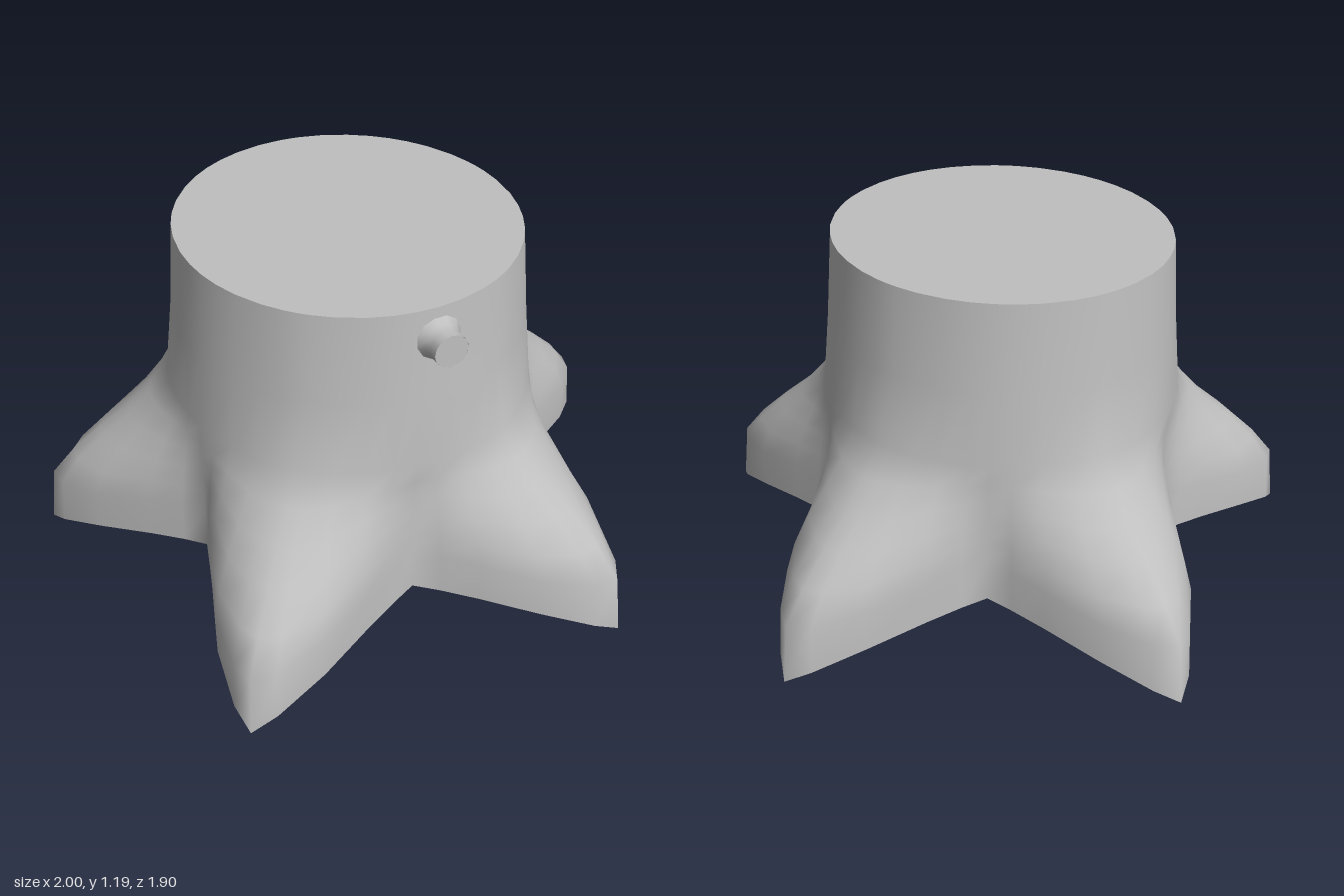
import * as THREE from 'three';

const CZ = 0.1; // trunk axis offset in z
const DEG = Math.PI / 180;

// Half of one root: angle from its ridge, and how far the outline reaches from valley (0) to ridge (1)
const ANGLES = [0, 4, 11.5, 21, 29, 36];
const SHARP = [1, 0.89, 0.61, 0.27, 0.1, 0]; // star outline at the ground
const ROUND = [1, 0.97, 0.76, 0.36, 0.11, 0]; // rounded ridge higher up
const RIM_Y = [0, 0.04, 0.1, 0.135, 0.155, 0.165];

// Rows from ground to top: ridge radius and height, valley radius and height, roundness, x stretch
const ROWS = [
  [1.05, 0, 0.593, 0.165, 0, 1],
  [1.025, 0.2, 0.588, 0.31, 0.25, 1],
  [0.945, 0.3, 0.586, 0.39, 0.6, 1],
  [0.84, 0.4, 0.585, 0.46, 0.9, 1],
  [0.745, 0.48, 0.584, 0.53, 1, 1],
  [0.66, 0.57, 0.582, 0.59, 1, 1.01],
  [0.59, 0.66, 0.58, 0.66, 1, 1.03],
  [0.557, 0.9, 0.555, 0.9, 1, 1.045],
  [0.53, 1.19, 0.53, 1.19, 1, 1.06],
];

// Columns around the trunk: five mirrored roots
function columns() {
  const list = [];
  for (let root = 0; root < 5; root++) {
    for (let k = 0; k < 5; k++) list.push([root * 72 + ANGLES[k], k]);
    for (let k = 5; k > 0; k--) list.push([root * 72 + 72 - ANGLES[k], k]);
  }
  return list;
}

function ringPoint(row, [angle, k]) {
  const [ridgeR, ridgeY, valleyR, valleyY, round, stretch] = ROWS[row];
  const f = THREE.MathUtils.lerp(SHARP[k], ROUND[k], round);
  const r = THREE.MathUtils.lerp(valleyR, ridgeR, f);
  const y = row === 0 ? RIM_Y[k] : THREE.MathUtils.lerp(valleyY, ridgeY, f);
  const a = angle * DEG;
  return [r * Math.sin(a) * stretch, y, CZ - r * Math.cos(a)];
}

function buildGeometry(positions, index) {
  const g = new THREE.BufferGeometry();
  g.setAttribute('position', new THREE.Float32BufferAttribute(positions, 3));
  g.setIndex(index);
  g.computeVertexNormals();
  return g;
}

export function createModel() {
  const group = new THREE.Group();
  group.name = 'treeStump';
  const wood = new THREE.MeshStandardMaterial({ color: 0xbfbfbf, side: THREE.DoubleSide });
  wood.name = 'wood grey';
  const add = (name, geometry) => {
    const mesh = new THREE.Mesh(geometry, wood);
    mesh.name = name;
    group.add(mesh);
    return mesh;
  };

  // Trunk and roots, one smooth open skin
  const cols = columns();
  const n = cols.length;
  const positions = [];
  const index = [];
  ROWS.forEach((_, j) => cols.forEach((c) => positions.push(...ringPoint(j, c))));
  for (let j = 0; j < ROWS.length - 1; j++) {
    for (let i = 0; i < n; i++) {
      const a = j * n + i;
      const b = j * n + ((i + 1) % n);
      index.push(a, a + n, b, b, a + n, b + n);
    }
  }
  add('trunkAndRoots', buildGeometry(positions, index));

  // Flat cut top
  const capPoints = [0, 1.19, CZ];
  const capIndex = [];
  cols.forEach((c, i) => {
    capPoints.push(...ringPoint(ROWS.length - 1, c));
    capIndex.push(0, 1 + ((i + 1) % n), 1 + i);
  });
  add('cutTop', buildGeometry(capPoints, capIndex));

  // Small branch stub with a flared base, on the model's left
  const profile = [[0.1, -0.03], [0.075, 0.005], [0.058, 0.03], [0.053, 0.055], [0.054, 0.085]];
  const stub = add('branchStub', new THREE.LatheGeometry(profile.map((p) => new THREE.Vector2(...p)), 12));
  const end = add('branchCut', new THREE.CircleGeometry(0.054, 12));
  const direction = new THREE.Vector3(0.98, 0, 0.2).normalize();
  stub.position.set(0.545, 1.085, 0.195);
  stub.quaternion.setFromUnitVectors(new THREE.Vector3(0, 1, 0), direction);
  end.position.copy(stub.position).addScaledVector(direction, 0.085);
  end.quaternion.setFromUnitVectors(new THREE.Vector3(0, 0, 1), direction);

  return group;
}
